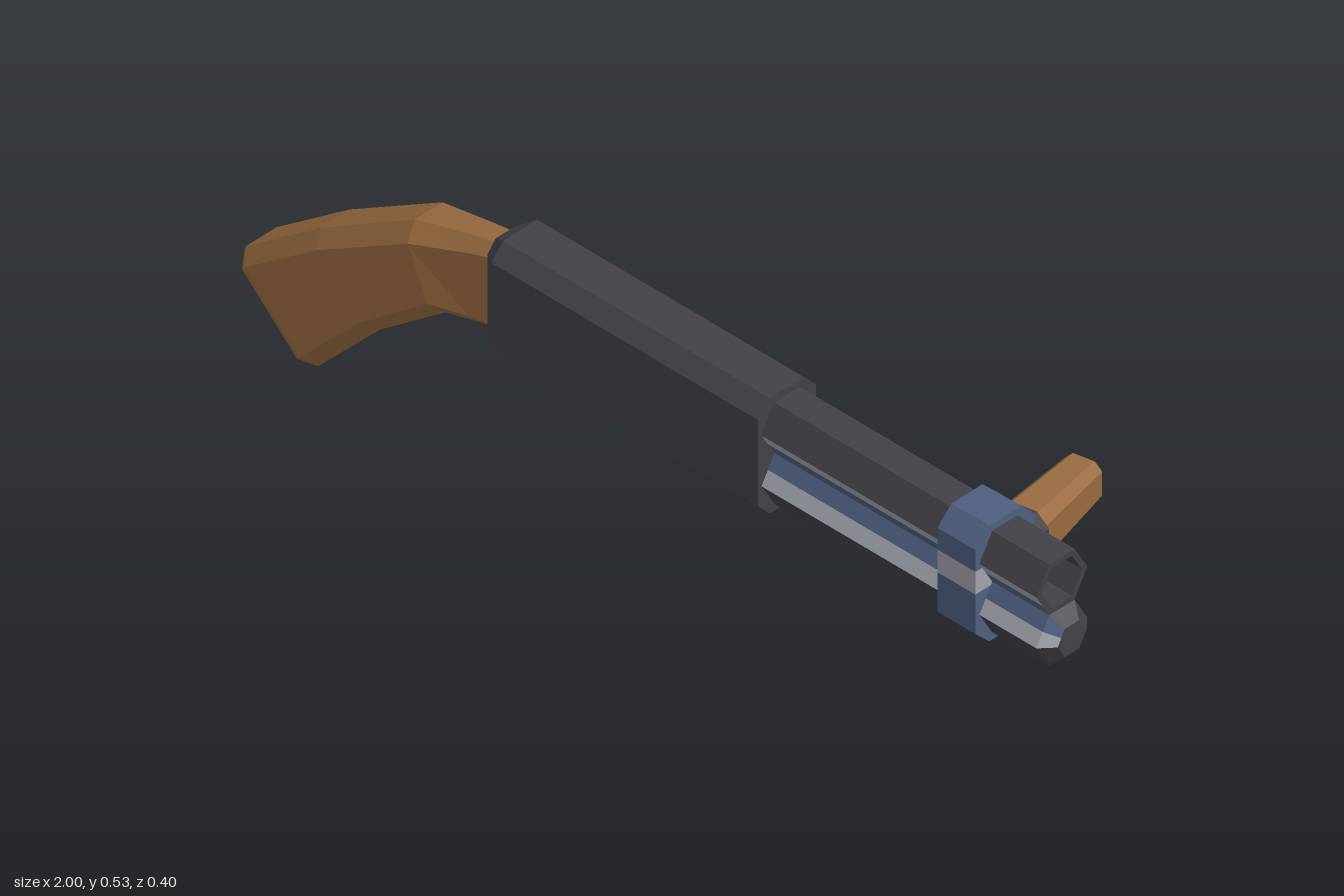
import * as THREE from 'three';

const material = (name, color) => {
  const m = new THREE.MeshStandardMaterial({ color, flatShading: true });
  m.name = name;
  return m;
};

const MID_Z = 0.125;

// Joins rings of points, ordered counter-clockwise about the direction of travel.
// colourOf(section, side) picks the material; the caps use capMaterial.
function loft(name, rings, colourOf, capMaterial) {
  const buckets = new Map();
  const add = (mat, ...pts) => {
    if (!buckets.has(mat)) buckets.set(mat, []);
    pts.forEach((p) => buckets.get(mat).push(p.x, p.y, p.z));
  };
  const n = rings[0].length;
  for (let s = 0; s < rings.length - 1; s++) {
    for (let i = 0; i < n; i++) {
      const j = (i + 1) % n;
      const a = rings[s], b = rings[s + 1];
      const mat = colourOf(s, i);
      add(mat, a[i], a[j], b[j]);
      add(mat, a[i], b[j], b[i]);
    }
  }
  const first = rings[0], last = rings[rings.length - 1];
  for (let i = 1; i < n - 1; i++) {
    add(capMaterial, first[0], first[i + 1], first[i]);
    add(capMaterial, last[0], last[i], last[i + 1]);
  }
  const group = new THREE.Group();
  group.name = name;
  for (const [mat, data] of buckets) {
    const geo = new THREE.BufferGeometry();
    geo.setAttribute('position', new THREE.Float32BufferAttribute(data, 3));
    geo.computeVertexNormals();
    const mesh = new THREE.Mesh(geo, mat);
    mesh.name = `${name} ${mat.name}`;
    group.add(mesh);
  }
  return group;
}

// Chamfered rectangle: [up, side] pairs, counter-clockwise about +x.
const octagon = (h, w, ch, cw) => [
  [h, w - cw], [h - ch, w], [-h + ch, w], [-h, w - cw],
  [-h, -w + cw], [-h + ch, -w], [h - ch, -w], [h, -w + cw],
];

const ringX = (x, cy, profile) =>
  profile.map(([u, v]) => new THREE.Vector3(x, cy + u, MID_Z + v));

// Hexagon with a flat top, each side halved so it can carry two colours.
function hexagon(r) {
  const out = [];
  for (let k = 0; k < 6; k++) {
    const a = Math.PI / 6 + (k * Math.PI) / 3, b = a + Math.PI / 3;
    const p = [r * Math.cos(a), r * Math.sin(a)], q = [r * Math.cos(b), r * Math.sin(b)];
    out.push(p, [(p[0] + q[0]) / 2, (p[1] + q[1]) / 2]);
  }
  return out;
}

export function createModel() {
  const dark = material('dark metal', 0x424147);
  const blue = material('blue steel', 0x4f5f80);
  const light = material('polished steel', 0xa0a3ad);
  const wood = material('wood', 0x996b3f);

  const model = new THREE.Group();
  model.name = 'model';

  // Receiver with a bevelled rear
  const body = octagon(0.127, 0.073, 0.032, 0.03);
  model.add(loft('receiver', [
    ringX(-0.39, 0.406, octagon(0.105, 0.046, 0.024, 0.02)),
    ringX(-0.355, 0.406, body),
    ringX(0.3, 0.406, body),
  ], () => dark, dark));

  // Hollow upper barrel
  const barrelSides = [dark, dark, light, blue, blue, blue, blue, light, dark, dark, dark, dark];
  model.add(loft('barrel', [
    ringX(0.28, 0.462, hexagon(0.064)),
    ringX(0.975, 0.462, hexagon(0.064)),
    ringX(0.975, 0.462, hexagon(0.051)),
    ringX(0.86, 0.462, hexagon(0.051)),
  ], (s, i) => (s === 0 ? barrelSides[i] : dark), dark));

  // Lower tube with a tapered end
  const tubeSides = [blue, light, dark, dark, dark, dark, blue, light, dark, dark, dark, dark];
  model.add(loft('lowerTube', [
    ringX(0.28, 0.35, hexagon(0.064)),
    ringX(0.975, 0.35, hexagon(0.064)),
    ringX(1.0, 0.35, hexagon(0.036)),
  ], (s, i) => tubeSides[i], dark));

  // Band round both tubes, in three layers with a bright middle
  const bandLayers = [
    ['bandTop', blue, 0.45, 0.533, 0, 0.035],
    ['bandMiddle', light, 0.4, 0.45, 0, 0],
    ['bandBottom', blue, 0.278, 0.4, 0.035, 0],
  ];
  for (const [name, mat, y0, y1, low, high] of bandLayers) {
    const w = 0.074;
    const profile = [
      [y1, w - high], [y1 - high, w], [y0 + low, w], [y0, w - low],
      [y0, -w + low], [y0 + low, -w], [y1 - high, -w], [y1, -w + high],
    ];
    model.add(loft(name, [0.742, 0.835].map((x) => ringX(x, 0, profile)), () => mat, mat));
  }

  // Shoulder stock: [top x, top y, bottom x, bottom y, half width, chamfer]
  const stock = [
    [-1.0, 0.172, -0.82, 0.005, 0.062, 0.03],
    [-0.99, 0.184, -0.808, 0.018, 0.068, 0.03],
    [-0.81, 0.318, -0.665, 0.17, 0.068, 0.03],
    [-0.58, 0.457, -0.505, 0.292, 0.067, 0.032],
    [-0.45, 0.488, -0.43, 0.305, 0.05, 0.025],
    [-0.375, 0.502, -0.375, 0.315, 0.042, 0.02],
  ];
  model.add(loft('stock', stock.map(([tx, ty, bx, by, w, c]) => {
    const h = Math.hypot(tx - bx, ty - by) / 2;
    return octagon(h, w, c, c).map(([u, v]) => {
      const t = (u / h + 1) / 2;
      return new THREE.Vector3(bx + (tx - bx) * t, by + (ty - by) * t, MID_Z + v);
    });
  }), () => wood, wood));

  // Side handle, built along -z and turned slightly backwards
  const handle = new THREE.Group();
  handle.name = 'sideHandle';
  const ringZ = (d, h, w, ch, cw) =>
    octagon(h, w, ch, cw).map(([u, v]) => new THREE.Vector3(v, u, -d));
  handle.add(loft('handleMount', [
    ringZ(-0.035, 0.064, 0.058, 0.027, 0.025),
    ringZ(0.014, 0.064, 0.058, 0.027, 0.025),
    ringZ(0.02, 0.056, 0.05, 0.024, 0.022),
  ], () => dark, dark));
  handle.add(loft('handleGrip', [
    ringZ(0.015, 0.054, 0.048, 0.02, 0.02),
    ringZ(0.215, 0.043, 0.039, 0.017, 0.017),
    ringZ(0.232, 0.026, 0.025, 0.01, 0.01),
  ], () => wood, wood));
  handle.position.set(0.777, 0.404, 0.035);
  handle.rotation.y = 0.2;
  model.add(handle);

  return model;
}
